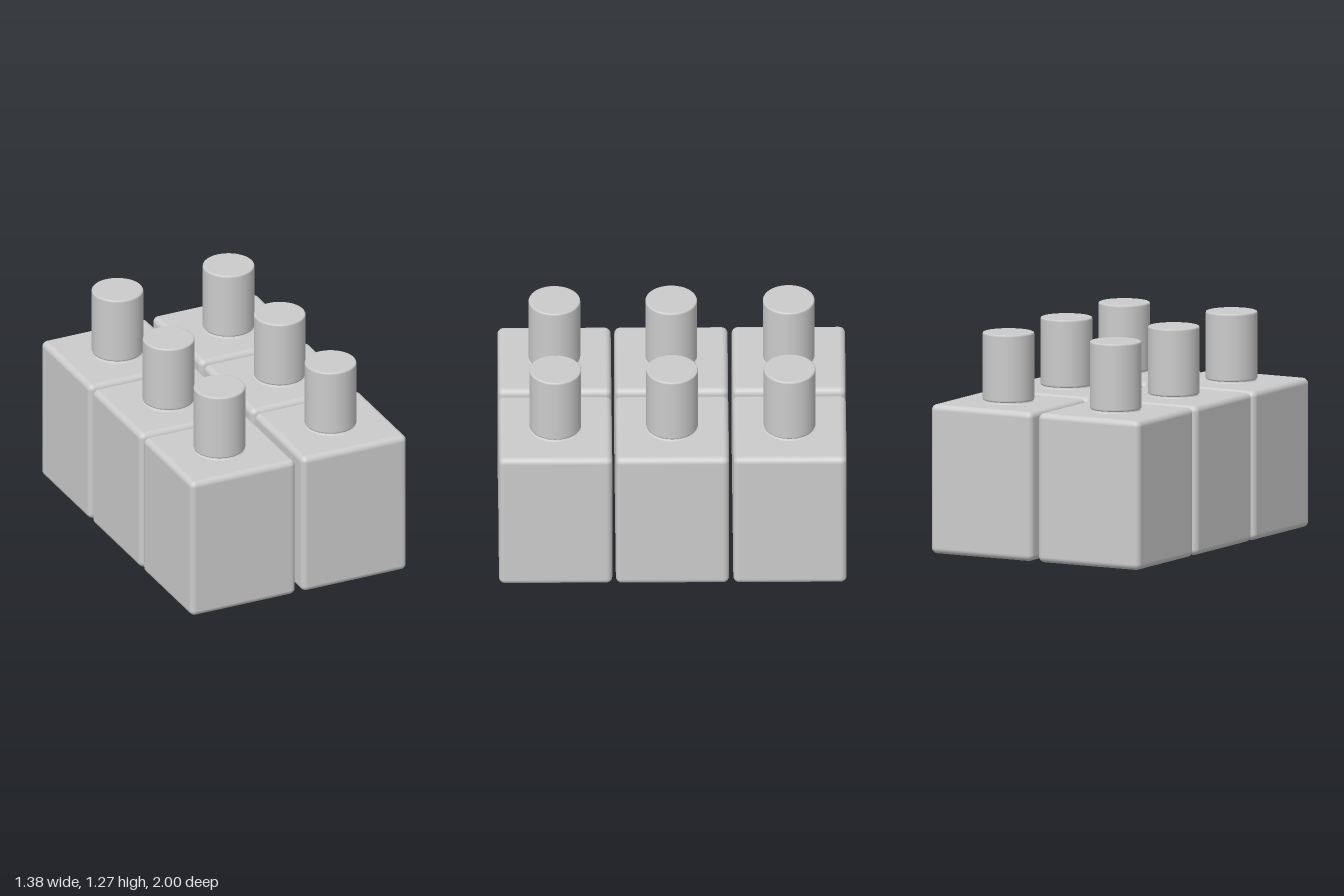
import * as THREE from 'three';
import { RoundedBoxGeometry } from 'three/addons/geometries/RoundedBoxGeometry.js';

const BODY = { w: 0.672, h: 0.868, d: 0.652, r: 0.035 };
const CAP = { r: 0.149, bottom: 0.88, top: 1.273, bevel: 0.007 };

// Smooth lathe from segments; each segment keeps its own normals so edges stay sharp
function lathe(points) {
  return new THREE.LatheGeometry(points.map(([x, y]) => new THREE.Vector2(x, y)), 48);
}

export function createModel() {
  const model = new THREE.Group();
  model.name = 'bottleSet';
  const material = new THREE.MeshStandardMaterial({ color: 0xcccccc });

  const bodyGeo = new RoundedBoxGeometry(BODY.w, BODY.h, BODY.d, 5, BODY.r);
  bodyGeo.translate(0, BODY.h / 2, 0);

  // Short neck flaring into the shoulder
  const neckGeo = lathe([[0.152, BODY.h - 0.002], [0.142, 0.871], [0.136, 0.876], [0.135, 0.9]]);

  // Cap with slightly softened rims
  const { r, bottom, top, bevel } = CAP;
  const capGeo = lathe([
    [0, bottom], [r - bevel, bottom], [r - bevel * 0.3, bottom + bevel * 0.3], [r, bottom + bevel],
    [r, bottom + 0.012], [r, top - 0.012],
    [r, top - bevel], [r - bevel * 0.3, top - bevel * 0.3], [r - bevel, top], [r - 0.012, top], [0, top],
  ]);

  // Two columns by three rows of bottles
  for (const x of [-0.355, 0.355]) {
    for (const z of [-0.674, 0.002, 0.674]) {
      const bottle = new THREE.Group();
      bottle.name = 'bottle';
      for (const [name, geo] of [['body', bodyGeo], ['neck', neckGeo], ['cap', capGeo]]) {
        const mesh = new THREE.Mesh(geo, material);
        mesh.name = name;
        bottle.add(mesh);
      }
      bottle.position.set(x, 0, z);
      model.add(bottle);
    }
  }
  return model;
}
